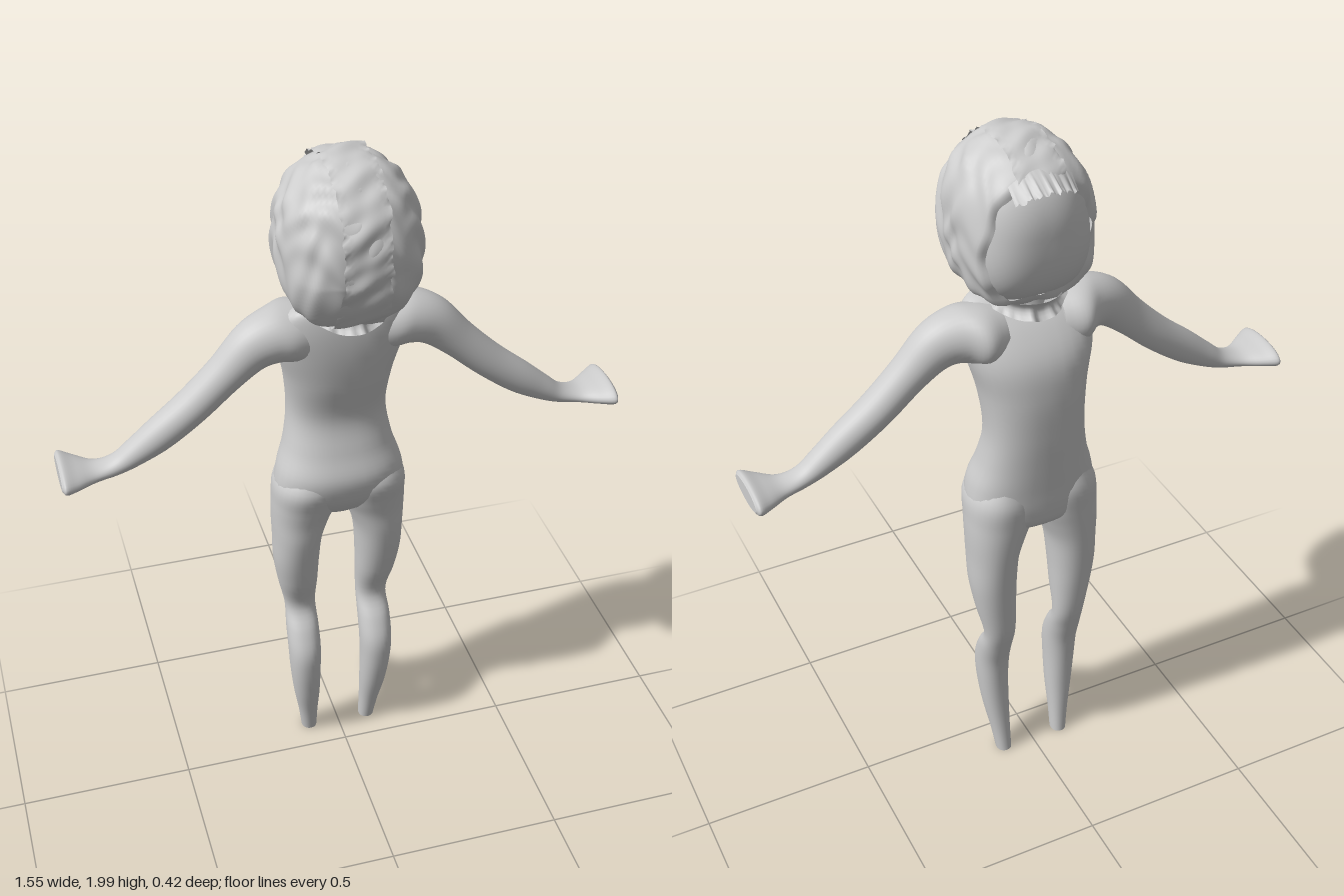
import * as THREE from 'three';

const grey = new THREE.MeshStandardMaterial({ color: 0xcccccc, side: THREE.DoubleSide });

// Turns a point grid into a smooth mesh; wrap joins the last column to the first
function grid(name, rows, cols, wrap, point, capEnds) {
  const pos = [], idx = [];
  const n = wrap ? cols : cols + 1;
  for (let i = 0; i <= rows; i++)
    for (let j = 0; j < n; j++) pos.push(...point(i / rows, j / cols));
  for (let i = 0; i < rows; i++)
    for (let j = 0; j < cols; j++) {
      const k = (j + 1) % n, a = i * n + j, b = i * n + k;
      idx.push(a, b, a + n, b, b + n, a + n);
    }
  // Flat end caps with their own corners, so that the rim stays sharp
  if (capEnds) for (const row of [0, rows]) {
    const start = pos.length / 3, c = [0, 0, 0];
    for (let j = 0; j < n; j++) {
      const p = point(row / rows, j / cols);
      pos.push(...p);
      p.forEach((v, k) => { c[k] += v / n; });
    }
    pos.push(...c);
    for (let j = 0; j < n; j++) {
      const a = start + j, b = start + (j + 1) % n;
      idx.push(...(row ? [a, b, start + n] : [b, a, start + n]));
    }
  }
  const g = new THREE.BufferGeometry();
  g.setAttribute('position', new THREE.Float32BufferAttribute(pos, 3));
  g.setIndex(idx);
  g.computeVertexNormals();
  const mesh = new THREE.Mesh(g, grey);
  mesh.name = name;
  return mesh;
}

// Smooth loft through sections [x, y, tilt, halfWidth, zBack, zFront]
function loft(name, sections, side = 1, power = 1) {
  const curves = [0, 3].map(o => new THREE.CatmullRomCurve3(
    sections.map(s => new THREE.Vector3(s[o], s[o + 1], s[o + 2])), false, 'catmullrom', 0.5));
  const shape = v => Math.sign(v) * Math.abs(v) ** power;
  return grid(name, 60, 32, true, (t, u) => {
    const p = curves[0].getPoint(t), q = curves[1].getPoint(t);
    const th = side * u * Math.PI * 2;
    const a = q.x * shape(Math.cos(th));
    const z = (q.y + q.z) / 2 + (q.z - q.y) / 2 * shape(Math.sin(th));
    return [side * (p.x + a * Math.cos(p.z)), p.y + a * Math.sin(p.z), z];
  }, true);
}

// Rounded head surface in direction (dx, dy, dz)
const headCentre = 1.77;
function headPoint(dx, dy, dz, swell = 0) {
  const n = 2.65 - 0.4 * Math.tanh(dy * 3);
  const sum = Math.abs(dx / 0.178) ** n + Math.abs(dy / 0.212) ** n + Math.abs(dz / 0.195) ** n;
  const r = sum ** (-1 / n) + swell;
  const y = dy * r, z = dz * r;
  // Narrower toward the bottom of +z
  const pull = z > 0 ? 1 + 1.1 * Math.min(0, y + 0.05) * z / 0.2 : 1;
  return [dx * r, headCentre + y, z * pull + 0.008];
}

// Soft cloth folds
const folds = (x, y, z) => 0.0035 * Math.sin(23 * x + 31 * y + 3 * Math.sin(17 * z))
  + 0.003 * Math.sin(41 * z - 19 * y + 2 * Math.sin(29 * x));
// Ragged edge outline
const ragged = t => 0.5 * Math.sin(t * 31) + 0.3 * Math.sin(t * 67 + 1) + 0.2 * Math.sin(t * 113 + 2);

export function createModel() {
  const model = new THREE.Group();
  model.name = 'figure';

  // Torso
  model.add(loft('torso', [
    [0, 1.575, 0, 0.05, -0.03, 0.03],
    [0, 1.56, 0, 0.14, -0.05, 0.042],
    [0, 1.5, 0, 0.18, -0.125, 0.05],
    [0, 1.42, 0, 0.172, -0.182, 0.047],
    [0, 1.32, 0, 0.148, -0.2, 0.03],
    [0, 1.2, 0, 0.138, -0.2, 0.0],
    [0, 1.1, 0, 0.153, -0.195, 0.02],
    [0, 1.02, 0, 0.178, -0.19, 0.044],
    [0, 0.95, 0, 0.182, -0.186, 0.03],
    [0, 0.9, 0, 0.14, -0.175, 0.0],
    [0, 0.87, 0, 0.06, -0.14, -0.03],
  ], 1, 0.85));

  for (const [label, side] of [['left', 1], ['right', -1]]) {
    // Legs, open hip to flat ankle
    model.add(loft(label + 'Leg', [
      [0.09, 1.04, 0, 0.06, -0.17, 0.01],
      [0.092, 0.98, 0, 0.094, -0.186, 0.036],
      [0.098, 0.91, 0, 0.094, -0.182, 0.018],
      [0.11, 0.85, 0, 0.083, -0.178, 0.003],
      [0.12, 0.78, 0, 0.071, -0.173, -0.005],
      [0.123, 0.69, 0, 0.066, -0.167, -0.022],
      [0.118, 0.6, 0, 0.058, -0.16, -0.045],
      [0.11, 0.5, 0, 0.046, -0.15, -0.076],
      [0.111, 0.43, 0, 0.048, -0.133, -0.035],
      [0.111, 0.36, 0, 0.048, -0.116, -0.006],
      [0.11, 0.28, 0, 0.045, -0.11, -0.007],
      [0.105, 0.18, 0, 0.039, -0.11, -0.025],
      [0.098, 0.08, 0, 0.029, -0.116, -0.052],
      [0.093, 0, 0, 0.023, -0.123, -0.07],
    ], side, 0.92));

    // Arms, flaring into flat paddle hands
    model.add(loft(label + 'Arm', [
      [0.08, 1.47, 1.57, 0.08, -0.13, 0.03],
      [0.14, 1.48, 1.57, 0.081, -0.15, 0.045],
      [0.19, 1.482, 1.45, 0.075, -0.115, 0.042],
      [0.25, 1.458, 1.1, 0.066, -0.092, 0.036],
      [0.32, 1.394, 0.85, 0.053, -0.078, 0.031],
      [0.41, 1.312, 0.88, 0.049, -0.074, 0.03],
      [0.5, 1.243, 0.95, 0.046, -0.067, 0.027],
      [0.57, 1.196, 1.02, 0.036, -0.061, 0.02],
      [0.625, 1.166, 1.3, 0.026, -0.058, 0.015],
      [0.68, 1.155, 1.55, 0.022, -0.068, 0.022],
      [0.73, 1.159, 1.6, 0.027, -0.1, 0.052],
      [0.765, 1.164, 1.6, 0.033, -0.12, 0.07],
      [0.776, 1.165, 1.6, 0.024, -0.105, 0.056],
    ], side));
  }

  // Neck
  model.add(loft('neck', [
    [0, 1.62, 0, 0.06, -0.08, 0.03], [0, 1.58, 0, 0.06, -0.08, 0.03], [0, 1.53, 0, 0.07, -0.09, 0.03],
  ]));

  // Smooth head inside the hood
  model.add(grid('head', 32, 48, true, (t, u) => {
    const b = t * Math.PI, a = u * Math.PI * 2;
    return headPoint(Math.sin(b) * Math.cos(a), Math.sin(b) * Math.sin(a), Math.cos(b), -0.012);
  }));

  // Creased hood, open around the face at -z
  model.add(grid('hood', 56, 96, true, (t, u) => {
    const a = u * Math.PI * 2;
    const edge = 2.32 + 0.08 * Math.sin(a) + 0.035 * Math.sin(3 * a + 1) + 0.02 * Math.sin(7 * a);
    const b = t * edge;
    const d = [Math.sin(b) * Math.cos(a), Math.sin(b) * Math.sin(a), Math.cos(b)];
    // The last rows curl in to meet the head
    const curl = t > 0.96 ? -0.014 * (t - 0.96) / 0.04 : 0;
    return headPoint(...d, 0.002 + folds(...d.map(v => v * 0.35)) + curl);
  }));

  // Raised central strip from under the chin over the crown to the brow
  model.add(grid('hoodStrip', 90, 14, false, (t, u) => {
    const f = THREE.MathUtils.lerp(2.5, -1.2, t);
    const s = u * 2 - 1, rim = Math.abs(s) ** 6;
    const x = s * (0.29 + 0.025 * ragged(t * 2 + Math.sign(s) * 0.3 * rim) * rim);
    const d = [Math.sin(x), Math.cos(x) * Math.sin(f), Math.cos(x) * Math.cos(f)];
    const crease = 0.003 * Math.sin(t * 38 + 2 * Math.sin(s * 2)) + 0.002 * Math.sin(t * 71 + s * 3);
    const lip = rim * 0.005 * ragged(t * 3 + s) - (1 - rim) * 0.001;
    return headPoint(...d, 0.009 + crease + lip);
  }));

  // Ragged flap along the brow
  model.add(grid('browFlap', 5, 40, false, (t, u) => {
    const s = u * 2 - 1;
    return [s * 0.085, 1.945 - 0.035 * t - 0.03 * s * s + 0.008 * ragged(u * 1.3) * t,
      -0.125 - t * (0.07 - 0.03 * s * s) + 0.006 * ragged(u * 2) * t];
  }));

  // Ragged gathered hem round the neck
  model.add(grid('hoodHem', 6, 96, true, (t, u) => {
    const a = u * Math.PI * 2, c = Math.cos(a), s = Math.sin(a);
    const wave = 0.5 * Math.sin(a * 9) + 0.3 * Math.sin(a * 14 + 1) + 0.2 * Math.sin(a * 23);
    const out = 1 + t * 0.07 * wave - 0.12 * Math.sin(t * Math.PI);
    const y = 1.59 - t * (0.036 + 0.016 * s * s) + 0.007 * t * wave;
    return [0.108 * c * out, y, -0.018 + 0.138 * s * out];
  }));

  return model;
}
